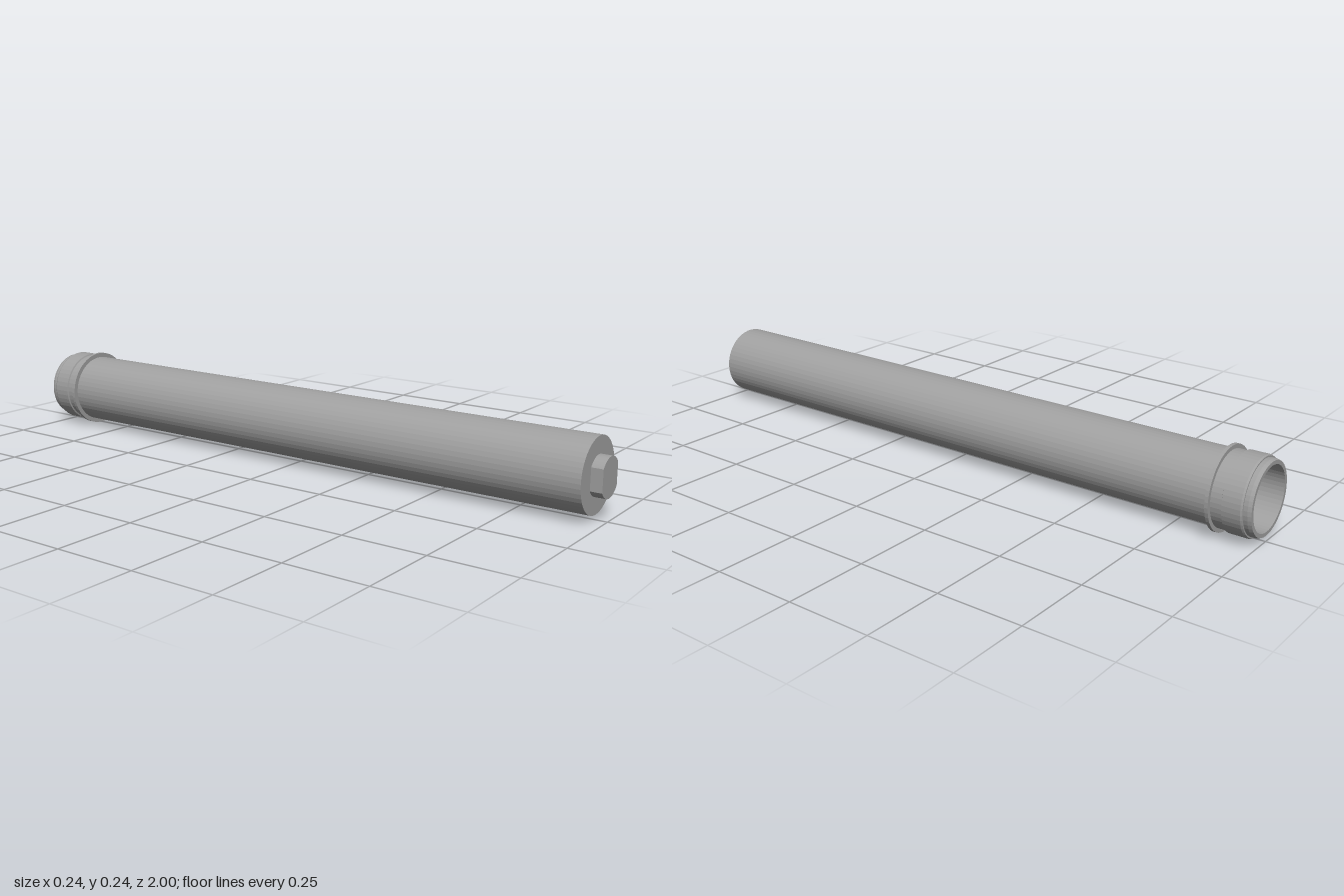
import * as THREE from 'three';

const SIDES = 48;
const AXIS_Y = 0.122;

export function createModel() {
  const group = new THREE.Group();
  group.name = 'tube';
  const grey = new THREE.MeshStandardMaterial({ color: 0xa0a0a0, flatShading: true });
  grey.name = 'grey metal';

  // Turned part: profile of [radius, z] pairs around the long axis
  const turn = (name, profile) => {
    const geo = new THREE.LatheGeometry(profile.map(([r, z]) => new THREE.Vector2(r, z)), SIDES);
    geo.rotateX(Math.PI / 2);
    const mesh = new THREE.Mesh(geo, grey);
    mesh.name = name;
    mesh.position.y = AXIS_Y;
    group.add(mesh);
  };

  // Hollow inside, closed near the front
  turn('bore', [[0, 0.93], [0.094, 0.93], [0.094, -1]]);
  // Open rear rim with a small bevel
  turn('rearLip', [[0.094, -1], [0.105, -1], [0.108, -0.99], [0.108, -0.978]]);
  // Raised collar with chamfered edges
  turn('collar', [[0.108, -0.978], [0.112, -0.978], [0.1145, -0.973], [0.1145, -0.92], [0.11, -0.918]]);
  // Neck and thin stop ring
  turn('neck', [[0.11, -0.918], [0.11, -0.886]]);
  turn('stopRing', [[0.11, -0.886], [0.122, -0.886], [0.122, -0.876], [0.108, -0.876]]);
  // Long barrel and its closed front face
  turn('barrel', [[0.108, -0.876], [0.108, 0.966], [0, 0.966]]);

  // Front stud: a round boss with two flat sides
  const r = 0.0575;
  const a = Math.acos(0.0475 / r);
  const outline = new THREE.Shape();
  outline.absarc(0, 0, r, a, Math.PI - a, false);
  outline.absarc(0, 0, r, Math.PI + a, 2 * Math.PI - a, false);
  outline.closePath();
  const stud = new THREE.Mesh(
    new THREE.ExtrudeGeometry(outline, { depth: 0.034, bevelEnabled: false, curveSegments: 14 }), grey);
  stud.name = 'frontStud';
  stud.position.set(0, AXIS_Y, 0.966);
  group.add(stud);

  return group;
}
